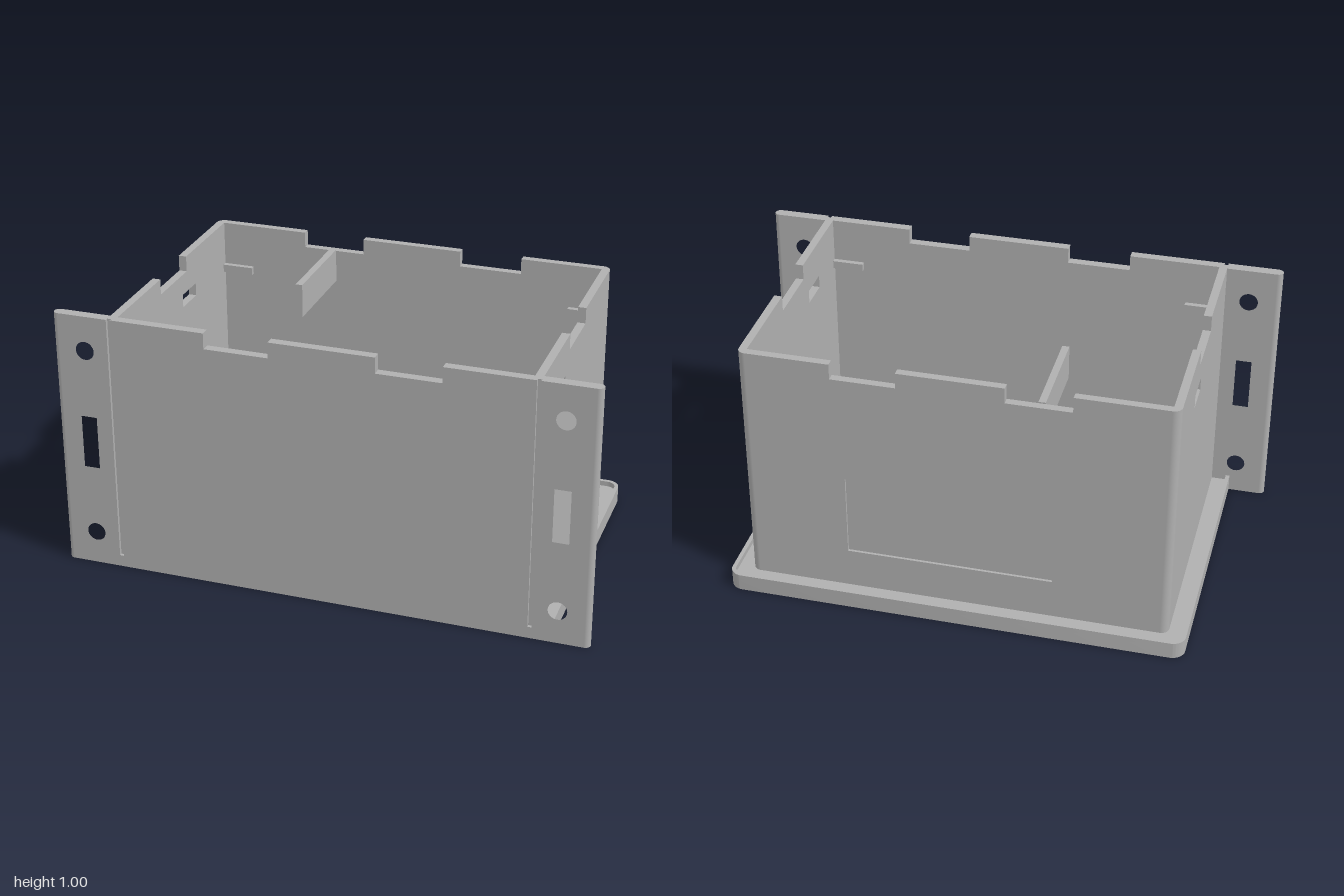
import * as THREE from 'three';
import { toCreasedNormals } from 'three/addons/utils/BufferGeometryUtils.js';

const WALL = 0.03, FLOOR = 0.045, TOP = 1, NOTCH = 0.94;
const FRONT = 0.565, FRONT_IN = 0.53, BACK = -0.49, BACK_IN = -0.46, SIDE = 0.79, SIDE_IN = 0.76;

export function createModel() {
  const model = new THREE.Group();
  model.name = 'enclosure';
  const plastic = new THREE.MeshStandardMaterial({ color: 0xb0b0b0 });
  plastic.name = 'grey plastic';

  const add = (name, geometry) => {
    const mesh = new THREE.Mesh(geometry, plastic);
    mesh.name = name;
    model.add(mesh);
    return mesh;
  };
  const box = (name, x0, x1, y0, y1, z0, z1) => {
    const m = add(name, new THREE.BoxGeometry(x1 - x0, y1 - y0, z1 - z0));
    m.position.set((x0 + x1) / 2, (y0 + y1) / 2, (z0 + z1) / 2);
    return m;
  };
  const extrude = (shape, depth) => toCreasedNormals(
    new THREE.ExtrudeGeometry(shape, { depth, bevelEnabled: false, curveSegments: 16 }), 0.6);
  const rect = (x0, x1, y0, y1) => new THREE.Path([[x0, y0], [x0, y1], [x1, y1], [x1, y0]]
    .map(p => new THREE.Vector2(...p)));

  // Upright panel outline with notches cut in the top edge and rectangular openings
  const panel = (u0, u1, y0, notches, holes = []) => {
    const s = new THREE.Shape();
    s.moveTo(u0, TOP);
    s.lineTo(u0, y0);
    s.lineTo(u1, y0);
    s.lineTo(u1, TOP);
    for (const [a, b] of [...notches].reverse()) {
      s.lineTo(b, TOP);
      s.lineTo(b, NOTCH);
      s.lineTo(a, NOTCH);
      s.lineTo(a, TOP);
    }
    s.closePath();
    s.holes.push(...holes.map(h => rect(...h)));
    return s;
  };

  // Front and back walls; the back has a shallow label recess
  const notches = [[-0.42, -0.18], [0.21, 0.45]];
  add('frontWall', extrude(panel(-0.775, 0.775, 0, notches), FRONT - FRONT_IN)).position.z = FRONT_IN;
  add('backWallInner', extrude(panel(-SIDE_IN, SIDE_IN, FLOOR, notches), 0.02)).position.z = BACK + 0.01;
  add('backWallOuter', extrude(panel(-SIDE_IN, SIDE_IN, FLOOR, notches, [[-0.36, 0.41, 0.2, 0.52]]), 0.01))
    .position.z = BACK;

  // Side walls, each with its own cable slot
  for (const [name, x, z0, z1] of [['leftWall', SIDE, 0.21, 0.335], ['rightWall', -SIDE_IN, -0.16, -0.035]]) {
    const shape = panel(BACK_IN, FRONT_IN, FLOOR, [[-0.08, 0.16]], [[z0, z1, 0.81, 0.86]]);
    add(name, extrude(shape, WALL).rotateY(-Math.PI / 2)).position.x = x;
  }

  // Base plate and the raised rim around it, drawn as (x, -z)
  const zf = 0.525;
  const outline = (s, x, back, r, reverse) => {
    if (!reverse) {
      s.lineTo(x, -zf);
      s.lineTo(x, back - r);
      s.absarc(x - r, back - r, r, 0, Math.PI / 2, false);
      s.absarc(-x + r, back - r, r, Math.PI / 2, Math.PI, false);
      s.lineTo(-x, -zf);
    } else {
      s.lineTo(-x, -zf);
      s.lineTo(-x, back - r);
      s.absarc(-x + r, back - r, r, Math.PI, Math.PI / 2, true);
      s.absarc(x - r, back - r, r, Math.PI / 2, 0, true);
      s.lineTo(x, -zf);
    }
  };
  const base = new THREE.Shape();
  base.moveTo(-0.85, -zf);
  outline(base, 0.86, 0.565, 0.05, false);
  add('basePlate', extrude(base, FLOOR).rotateX(-Math.PI / 2));
  const rim = new THREE.Shape();
  rim.moveTo(0.86, -zf);
  outline(rim, 0.86, 0.565, 0.05, false);
  outline(rim, 0.845, 0.55, 0.035, true);
  add('baseRim', extrude(rim, 0.065).rotateX(-Math.PI / 2));

  for (const s of [-1, 1]) {
    const span = (a, b) => (s > 0 ? [a, b] : [-b, -a]);

    // Rounded back corner post
    const corner = add('backCorner', new THREE.CylinderGeometry(WALL, WALL, TOP - FLOOR, 12, 1, false,
      s > 0 ? Math.PI / 2 : Math.PI, Math.PI / 2));
    corner.position.set(s * SIDE_IN, (TOP + FLOOR) / 2, BACK_IN);

    // Mounting flange with two screw holes and a strap slot
    const flange = new THREE.Shape(rect(...span(SIDE, 0.98), 0, TOP).getPoints());
    for (const y of [0.13, 0.867]) {
      const hole = new THREE.Path();
      hole.absarc(s * 0.88, y, 0.035, 0, Math.PI * 2, true);
      flange.holes.push(hole);
    }
    flange.holes.push(rect(...span(0.85, 0.91), 0.4, 0.605));
    add('mountingFlange', extrude(flange, 0.04)).position.z = 0.525;
    const edge = add('flangeEdge', new THREE.CylinderGeometry(0.02, 0.02, TOP, 16, 1, false,
      s > 0 ? 0 : Math.PI, Math.PI));
    edge.position.set(s * 0.98, TOP / 2, 0.545);

    // Fine groove between the front wall and the flange
    box('flangeGroove', ...span(0.775, SIDE), FLOOR, TOP, FRONT_IN, 0.553);
    box('flangeFoot', ...span(0.775, SIDE), 0, FLOOR, 0.525, FRONT);

    // Lid ledges in the corners
    box('backLedge', ...span(0.64, SIDE_IN), 0.8, 0.83, BACK_IN, -0.44);
    box('frontLedge', ...span(0.64, SIDE_IN), 0.8, 0.83, 0.51, FRONT_IN);
  }

  // Divider fin on the back wall and the bracket on the floor below it
  box('dividerFin', -0.318, -0.292, 0.815, 0.945, BACK_IN, -0.08);
  box('bracketCheek', -0.336, -0.318, FLOOR, 0.15, -0.31, -0.17);
  box('bracketCheek', -0.292, -0.27, FLOOR, 0.15, -0.31, -0.17);

  // Circuit board standoffs
  for (const x of [-0.182, 0.632])
    for (const z of [0.015, 0.425])
      box('standoff', x - 0.023, x + 0.023, FLOOR, 0.12, z - 0.023, z + 0.023);

  return model;
}
